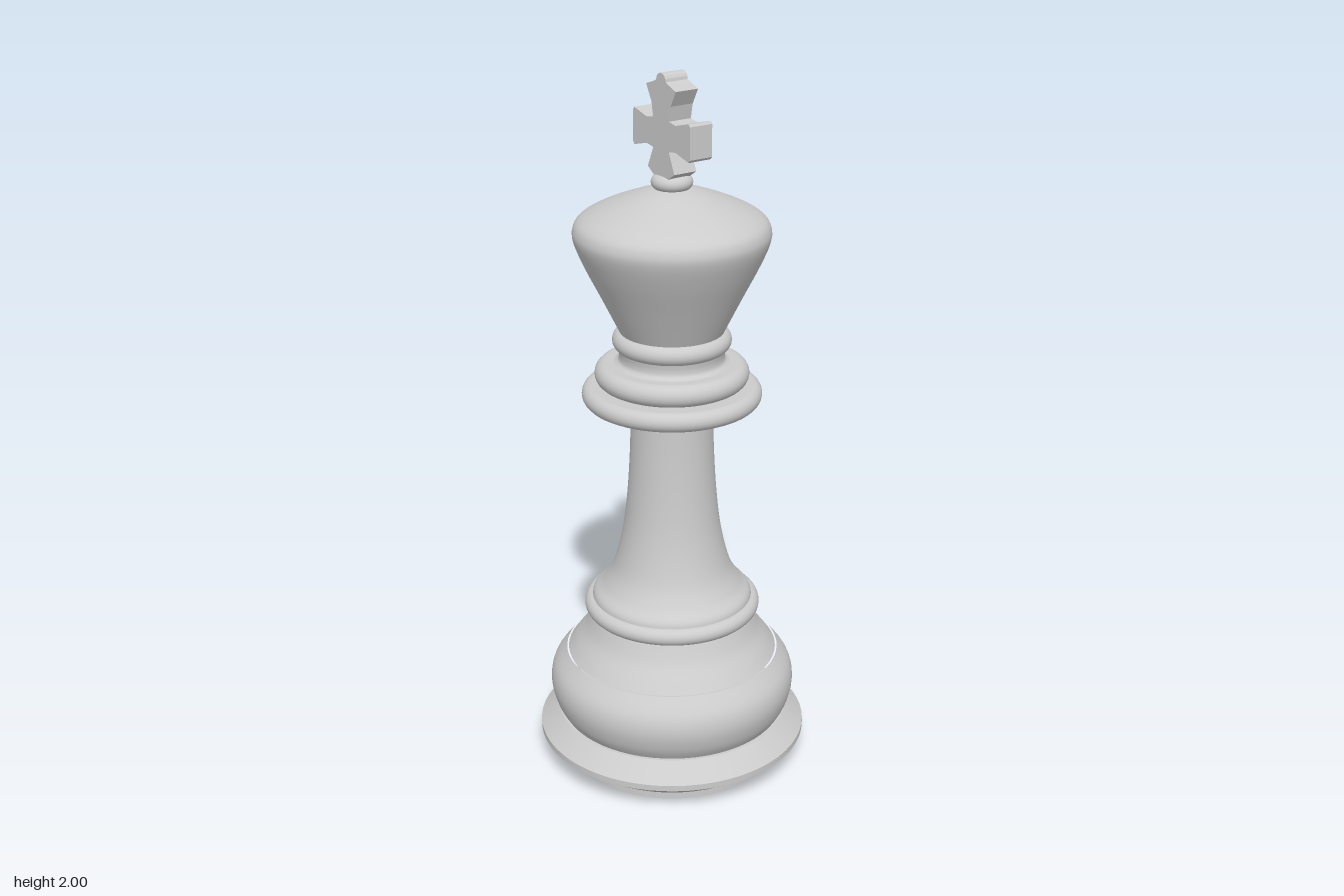
import * as THREE from 'three';

const SEG = 64;
const material = new THREE.MeshStandardMaterial({ color: 0xcccccc });
const vec = ([x, y]) => new THREE.Vector2(x, y);

export function createModel() {
  const group = new THREE.Group();

  const add = (name, geometry) => {
    const mesh = new THREE.Mesh(geometry, material);
    mesh.name = name;
    group.add(mesh);
    return mesh;
  };

  // Turned section with a smooth curve through [radius, height], bottom to top
  const turned = (name, points, steps = 24) =>
    add(name, new THREE.LatheGeometry(new THREE.SplineCurve(points.map(vec)).getPoints(steps), SEG));

  // Turned section with straight, sharp-edged slopes
  const faceted = (name, points) => {
    const part = new THREE.Group();
    part.name = name;
    for (let i = 0; i < points.length - 1; i++) {
      part.add(new THREE.Mesh(new THREE.LatheGeometry([vec(points[i]), vec(points[i + 1])], SEG), material));
    }
    group.add(part);
  };

  // Disc with a rounded rim between two heights
  const ring = (name, radius, y0, y1) => {
    const h = (y1 - y0) / 2;
    const points = [new THREE.Vector2(0, y0)];
    for (let i = 0; i <= 10; i++) {
      const a = -Math.PI / 2 + (Math.PI * i) / 10;
      points.push(new THREE.Vector2(radius - h + h * Math.cos(a), y0 + h + h * Math.sin(a)));
    }
    points.push(new THREE.Vector2(0, y1));
    add(name, new THREE.LatheGeometry(points, SEG));
  };

  // Foot and lower body
  faceted('foot', [[0, 0], [0.31, 0], [0.31, 0.02], [0.385, 0.075], [0.385, 0.092], [0.33, 0.14], [0, 0.14]]);
  turned('bulge', [[0.318, 0.135], [0.34, 0.175], [0.352, 0.23], [0.342, 0.28], [0.305, 0.33]]);
  turned('shoulder', [[0.3, 0.33], [0.282, 0.355], [0.25, 0.4], [0.225, 0.455]]);
  ring('lowerRing', 0.25, 0.45, 0.5);

  // Flared stem
  turned('stem', [[0.228, 0.495], [0.222, 0.515], [0.195, 0.545], [0.165, 0.6], [0.14, 0.7],
    [0.126, 0.81], [0.117, 0.95], [0.113, 1.1]], 40);

  // Collar stack
  ring('collar', 0.248, 1.09, 1.145);
  ring('upperCollar', 0.212, 1.145, 1.208);
  turned('neck', [[0.165, 1.205], [0.148, 1.215], [0.144, 1.23], [0.146, 1.25]]);
  ring('neckRing', 0.163, 1.245, 1.3);

  // Crown widening to a rounded brim, then the low dome
  turned('crown', [[0.142, 1.297], [0.19, 1.395], [0.235, 1.485], [0.262, 1.55], [0.264, 1.585],
    [0.245, 1.613], [0.19, 1.643], [0.11, 1.675], [0.05, 1.693], [0, 1.697]], 60);
  ring('finialRing', 0.056, 1.69, 1.73);

  // Flared cross with a small rounded tip
  const half = [[0.06, 1.745], [0.035, 1.8], [0.065, 1.805], [0.122, 1.79], [0.128, 1.797],
    [0.128, 1.883], [0.122, 1.89], [0.065, 1.875], [0.035, 1.88], [0.043, 1.92], [0.066, 1.962], [0.032, 1.974]];
  const tip = [];
  for (let i = 0; i <= 8; i++) {
    const a = (Math.PI * i) / 8;
    tip.push([0.021 * Math.cos(a), 1.979 + 0.021 * Math.sin(a)]);
  }
  const mirrored = half.map(([x, y]) => [-x, y]).reverse();
  const outline = [[0.03, 1.725], ...half, ...tip, ...mirrored, [-0.03, 1.725]];
  const cross = new THREE.ExtrudeGeometry(new THREE.Shape(outline.map(vec)), { depth: 0.07, bevelEnabled: false });
  cross.translate(0, 0, -0.035);
  add('cross', cross);

  return group;
}
